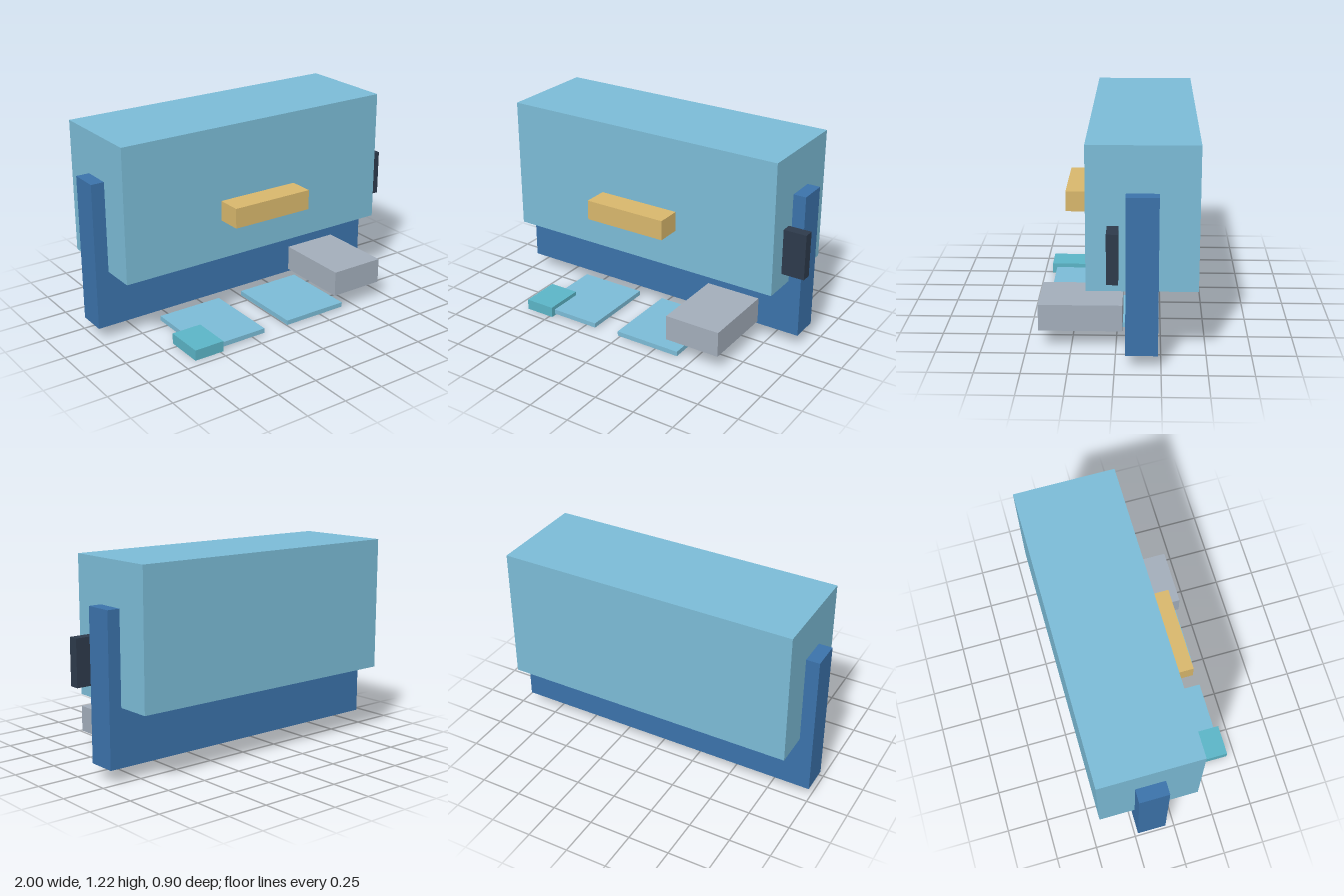
import * as THREE from 'three';

const COLORS = {
  sky: 0x7bbbd6, navy: 0x3b72aa, dark: 0x2d3a4b,
  gold: 0xd8b76c, teal: 0x5bb4c6, grey: 0xa2adba,
};

// name, colour, [x min, x max], [y min, y max], [z min, z max]
const PARTS = [
  ['mainBody', 'sky', [-0.92, 0.86], [0.42, 1.22], [-0.447, 0.155]],
  ['rearFrame', 'navy', [-1, 0.937], [0.08, 0.963], [-0.233, -0.058]],
  ['sideHandle', 'dark', [0.86, 1], [0.51, 0.786], [-0.021, 0.041]],
  ['frontShelf', 'gold', [-0.29, 0.226], [0.658, 0.778], [0.155, 0.304]],
  ['shelfBracket', 'teal', [-0.172, 0.109], [0.622, 0.658], [0.155, 0.216]],
  ['sideCase', 'grey', [0.342, 0.684], [0.108, 0.262], [-0.036, 0.432]],
  ['floorPlateRight', 'sky', [-0.59, -0.174], [0.011, 0.04], [-0.06, 0.421]],
  ['floorPlateLeft', 'sky', [-0.007, 0.409], [0.011, 0.04], [-0.06, 0.421]],
  ['floorBlock', 'teal', [-0.668, -0.48], [0, 0.065], [0.206, 0.449]],
];

// Box spanning the given ranges
function block(name, color, ...ranges) {
  const size = ranges.map(([a, b]) => b - a);
  const centre = ranges.map(([a, b]) => (a + b) / 2);
  const mesh = new THREE.Mesh(
    new THREE.BoxGeometry(...size),
    new THREE.MeshStandardMaterial({ color: COLORS[color] }),
  );
  mesh.name = name;
  mesh.position.set(...centre);
  return mesh;
}

export function createModel() {
  const model = new THREE.Group();
  model.name = 'blockMachine';
  for (const part of PARTS) model.add(block(...part));
  return model;
}
